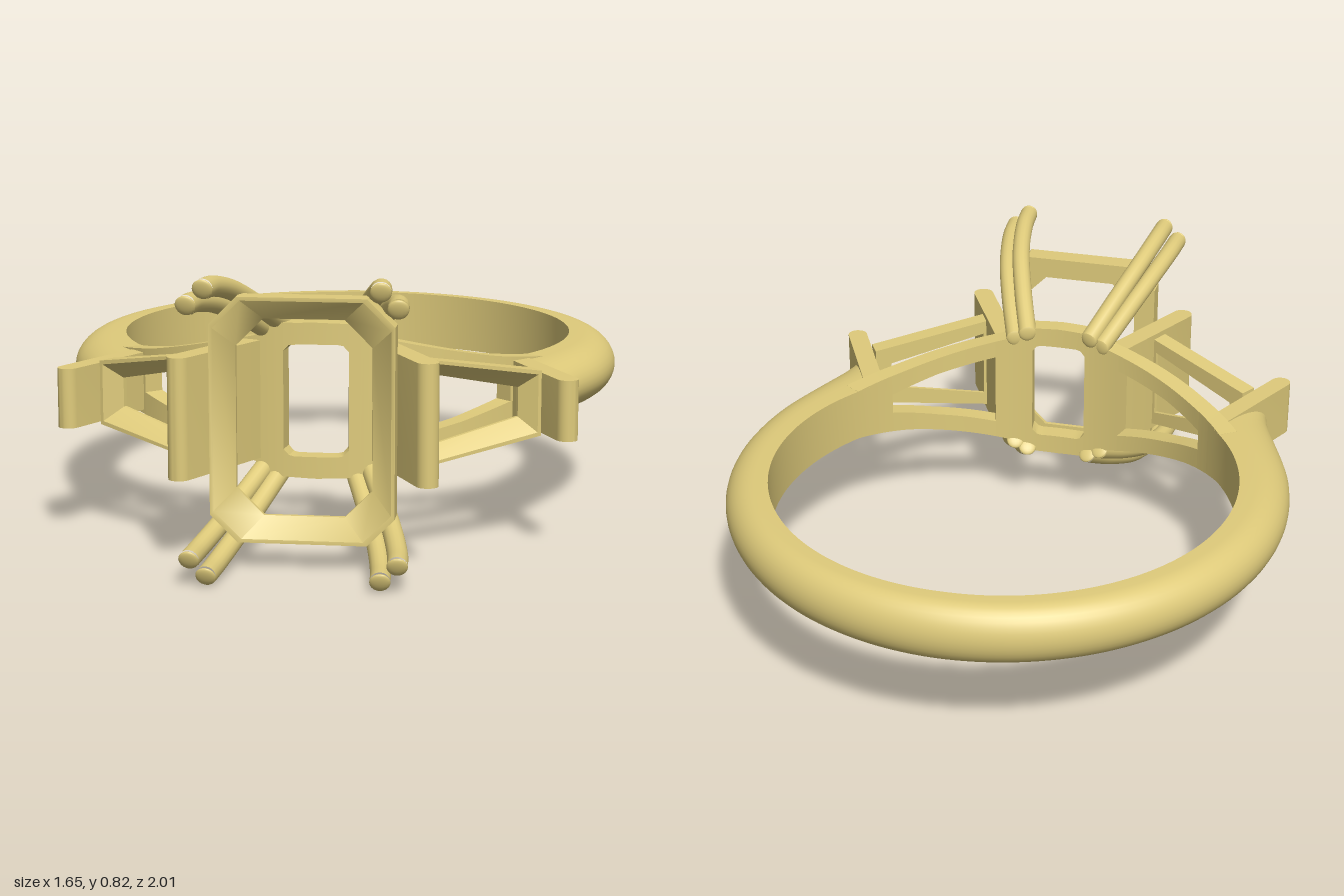
import * as THREE from 'three';
import { toCreasedNormals } from 'three/addons/utils/BufferGeometryUtils.js';

const MID = 0.411;            // height of the ring's middle plane
const CZ = -0.215, RI = 0.685; // centre and radius of the finger hole
const V = (x, y, z) => new THREE.Vector3(x, y, z);
const gold = new THREE.MeshStandardMaterial({ color: 0xdfcb7b });

// Skin through equal-length convex cross-sections; closed joins last to first
function loft(sections, closed = false) {
  const n = sections[0].length, m = sections.length, tris = [];
  for (let i = 0; i < (closed ? m : m - 1); i++) {
    const a = sections[i], b = sections[(i + 1) % m];
    for (let j = 0; j < n; j++) {
      const k = (j + 1) % n;
      tris.push([a[j], b[j], b[k]], [a[j], b[k], a[k]]);
    }
  }
  if (!closed) {
    const a = sections[0], b = sections[m - 1];
    for (let j = 1; j < n - 1; j++) tris.push([a[0], a[j], a[j + 1]], [b[0], b[j + 1], b[j]]);
  }
  // Turn the skin outward if its volume is negative
  let vol = 0;
  for (const [a, b, c] of tris) vol += a.dot(b.clone().cross(c));
  const pts = tris.flatMap(([a, b, c]) => (vol < 0 ? [a, c, b] : [a, b, c]));
  return toCreasedNormals(new THREE.BufferGeometry().setFromPoints(pts), 0.6);
}

// Piecewise linear lookup
function lerpTable(table, x) {
  for (let i = 1; i < table.length; i++) {
    const [x0, y0] = table[i - 1], [x1, y1] = table[i];
    if (x <= x1) return y0 + ((y1 - y0) * Math.max(0, x - x0)) / (x1 - x0);
  }
  return table[table.length - 1][1];
}

// Stone seat: a flat frame with an inward sloping front face
function seatFrame(outline, width, depth) {
  const sections = outline.map(([x, y]) => {
    const at = (d, z) => V(x - Math.sign(x) * d, y - Math.sign(y) * d, z);
    return [at(0, 0), at(0, depth), at(0.01, depth), at(width, depth * 0.2), at(width, 0)];
  });
  return loft(sections, true);
}

// Upright plate from plan point a to b, rounded at b
function plate(a, b, width, half) {
  const dir = new THREE.Vector2(b[0] - a[0], b[1] - a[1]).normalize();
  const r = width / 2, plan = [[a[0] - dir.y * r, a[1] + dir.x * r], [a[0] + dir.y * r, a[1] - dir.x * r]];
  const t0 = Math.atan2(dir.y, dir.x);
  for (let i = 0; i <= 12; i++) {
    const t = t0 - Math.PI / 2 + (i / 12) * Math.PI;
    plan.push([b[0] + r * Math.cos(t), b[1] + r * Math.sin(t)]);
  }
  return loft([-half, half].map(y => plan.map(([x, z]) => V(x, y, z))));
}

// Piece of the curved gallery wall behind the stones
function wall(x0, x1, lo, hi) {
  const sections = [], steps = 12;
  for (let i = 0; i <= steps; i++) {
    const x = x0 + ((x1 - x0) * i) / steps, t = Math.asin(x / RI);
    const at = (r, y) => V(r * Math.sin(t), y, CZ + r * Math.cos(t));
    const l = lo(Math.abs(x)), h = hi(Math.abs(x));
    sections.push([at(RI, l), at(RI + 0.058, l), at(RI + 0.058, h), at(RI, h)]);
  }
  return loft(sections);
}

// Band with a D-shaped section that thickens into the shoulders
function shank() {
  const curve = new THREE.CatmullRomCurve3(
    [[-30, 0.793], [0, 0.785], [45, 0.797], [90, 0.825], [108, 0.843], [122, 0.868], [131, 0.91], [135, 0.95]]
      .map(([a, r]) => V(a, r, 0)));
  const radii = curve.getPoints(160).map(p => [p.x, p.y]);
  const profile = [[0, -1]];
  for (let i = 0; i <= 18; i++) {
    const t = -Math.PI / 2 + (i / 18) * Math.PI;
    profile.push([0.3 + 0.7 * Math.cos(t), Math.sin(t)]);
  }
  profile.push([0, 1]);
  const sections = [], steps = 120;
  for (let i = 0; i <= steps; i++) {
    const s = (i / steps) * 2 - 1;
    const ro = lerpTable(radii, Math.abs(s) * 135);
    const half = 0.091 - 0.01 * Math.abs(s);
    sections.push(profile.map(([f, v]) => {
      const a = THREE.MathUtils.degToRad(s * (130 + 5 * f)), r = RI + (ro - RI) * f;
      return V(r * Math.sin(a), v * half, CZ - r * Math.cos(a));
    }));
  }
  return loft(sections);
}

export function createModel() {
  const model = new THREE.Group();
  model.name = 'ring';
  const body = new THREE.Group();
  body.name = 'ringBody';
  body.position.y = MID;
  model.add(body);
  const add = (name, geometry, parent = body) => {
    const mesh = new THREE.Mesh(geometry, gold);
    mesh.name = name;
    parent.add(mesh);
    return mesh;
  };

  add('shank', shank());

  // Centre stone seat
  const seat = [];
  for (const [sx, sy] of [[1, 1], [-1, 1], [-1, -1], [1, -1]]) {
    const pair = [[sx * 0.25, sy * 0.26], [sx * 0.175, sy * 0.335]];
    seat.push(...(sx * sy > 0 ? pair : pair.reverse()));
  }
  add('centreSeat', seatFrame(seat, 0.065, 0.065)).position.z = 0.748;

  // Gallery wall edges: outer edge, side window edge, centre window edge
  const edge = x => lerpTable([[0, 0.222], [0.115, 0.218], [0.16, 0.18], [0.3, 0.145], [0.455, 0.105], [0.57, 0.082]], x);
  const sideWindow = x => lerpTable([[0.2, 0.115], [0.37, 0.072], [0.49, 0.032]], x);
  const centreWindow = x => lerpTable([[0, 0.16], [0.068, 0.16], [0.085, 0.14]], x);
  const flip = f => x => -f(x);
  for (const sy of [1, -1]) {
    const side = f => (sy > 0 ? f : flip(f));
    add('galleryCentreRail', wall(-0.085, 0.085, side(centreWindow), side(edge)));
    for (const sx of [1, -1]) add('gallerySideRail', wall(sx * 0.2, sx * 0.49, side(sideWindow), side(edge)));
  }

  for (const sx of [1, -1]) {
    add('galleryPost', wall(sx * 0.085, sx * 0.2, flip(edge), edge));
    add('galleryEnd', wall(sx * 0.49, sx * 0.57, flip(edge), edge));

    // Plates holding the side stone at each end
    add('innerPlate', plate([sx * 0.185, 0.505], [sx * 0.335, 0.795], 0.062, 0.168));
    add('outerPlate', plate([sx * 0.555, 0.265], [sx * 0.698, 0.553], 0.06, 0.085));

    // Tapered side stone seat, facing outward
    const taper = [[-sx * 0.205, -0.158], [sx * 0.205, -0.092], [sx * 0.205, 0.092], [-sx * 0.205, 0.158]];
    const side = add('sideSeat', seatFrame(taper, 0.05, 0.055));
    side.position.set(sx * 0.42, 0, 0.535);
    side.rotation.y = sx * Math.atan2(0.205, 0.35);

    // Paired claws at each corner
    for (const sy of [1, -1]) {
      const claws = [
        [[0.1, 0.205, 0.46], [0.15, 0.28, 0.6], [0.195, 0.343, 0.75], [0.222, 0.376, 0.9], [0.23, 0.381, 0.992]],
        [[0.14, 0.185, 0.46], [0.192, 0.252, 0.6], [0.238, 0.307, 0.75], [0.267, 0.334, 0.9], [0.275, 0.338, 0.992]],
      ];
      for (const claw of claws) {
        const path = new THREE.CatmullRomCurve3(claw.map(([x, y, z]) => V(sx * x, sy * y, z)));
        add('claw', new THREE.TubeGeometry(path, 28, 0.028, 16));
        for (const t of [0, 1]) {
          const tip = add('clawEnd', new THREE.SphereGeometry(0.028, 16, 10));
          tip.position.copy(path.getPoint(t));
          tip.lookAt(tip.position.clone().add(path.getTangent(t)));
          tip.scale.z = 0.3;
        }
      }
    }
  }
  return model;
}
